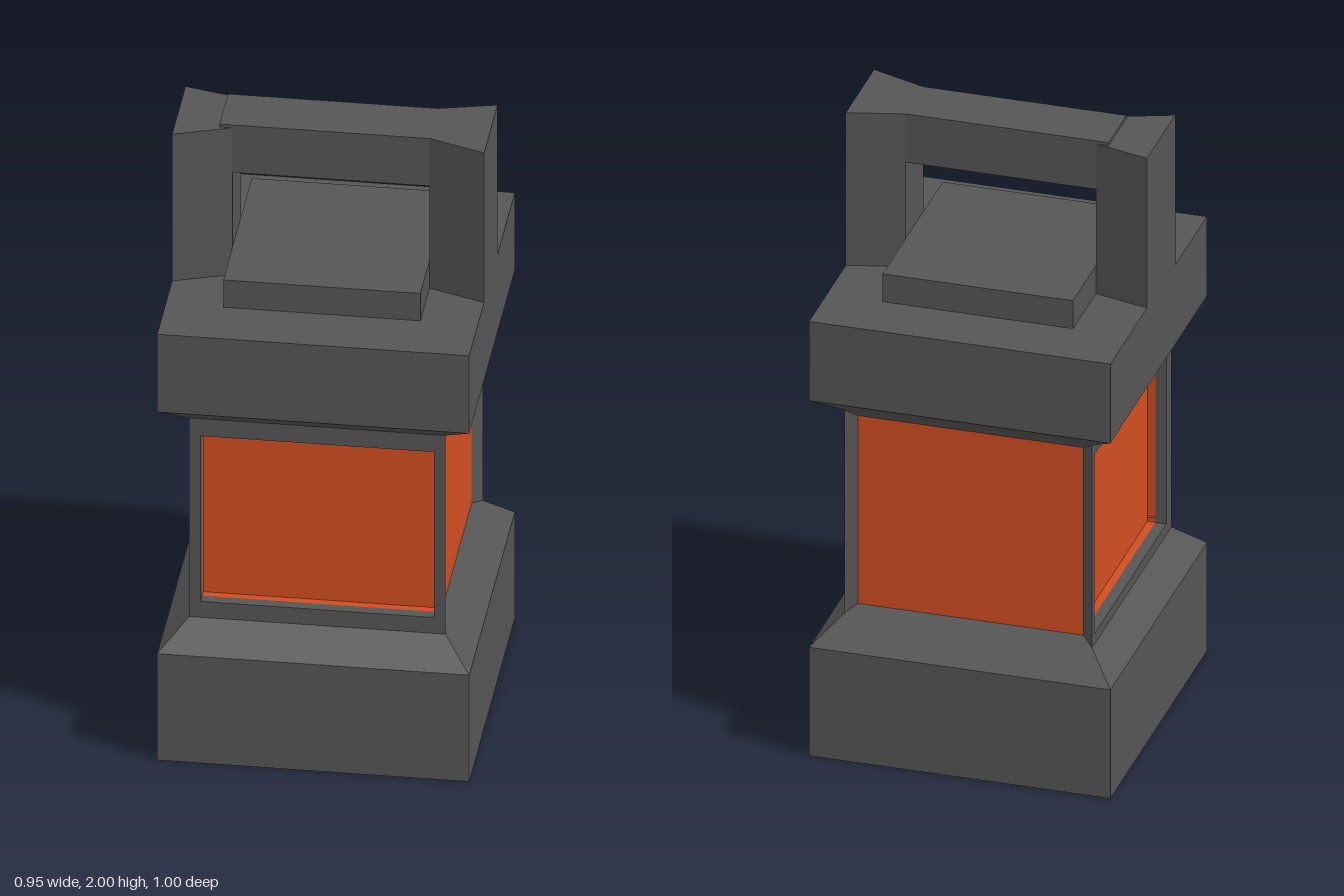
import * as THREE from 'three';

const grey = new THREE.MeshStandardMaterial({ color: 0x555555, flatShading: true });
const orange = new THREE.MeshStandardMaterial({ color: 0xd24e21, flatShading: true });

function add(parent, name, geometry, material = grey) {
  const mesh = new THREE.Mesh(geometry, material);
  mesh.name = name;
  parent.add(mesh);
  return mesh;
}

function box(x0, x1, y0, y1, z0, z1) {
  return new THREE.BoxGeometry(x1 - x0, y1 - y0, z1 - z0)
    .translate((x0 + x1) / 2, (y0 + y1) / 2, (z0 + z1) / 2);
}

// Rectangular block whose top differs in size from its bottom
function taper(w0, d0, w1, d1, y0, y1) {
  const g = box(-1, 1, y0, y1, -1, 1);
  const p = g.attributes.position;
  const mid = (y0 + y1) / 2;
  for (let i = 0; i < p.count; i++) {
    const top = p.getY(i) > mid;
    p.setX(i, p.getX(i) * (top ? w1 : w0));
    p.setZ(i, p.getZ(i) * (top ? d1 : d0));
  }
  g.computeVertexNormals();
  return g;
}

// Surface stepping inward through rectangles [u0, u1, v0, v1, depth]
function steps(rects) {
  const corners = ([u0, u1, v0, v1, n]) => [[u0, v0, n], [u1, v0, n], [u1, v1, n], [u0, v1, n]];
  const pos = [];
  const quad = (a, b, c, d) => pos.push(...a, ...b, ...c, ...a, ...c, ...d);
  for (let r = 0; r < rects.length - 1; r++) {
    const a = corners(rects[r]), b = corners(rects[r + 1]);
    for (let i = 0; i < 4; i++) {
      const j = (i + 1) % 4;
      quad(a[i], a[j], b[j], b[i]);
    }
  }
  if (rects.length === 1) quad(...corners(rects[0]));
  const g = new THREE.BufferGeometry();
  g.setAttribute('position', new THREE.Float32BufferAttribute(pos, 3));
  g.computeVertexNormals();
  return g;
}

// Vertical prism from an x/z outline
function prism(points, y0, y1) {
  const shape = new THREE.Shape(points.map(([x, z]) => new THREE.Vector2(x, -z)));
  return new THREE.ExtrudeGeometry(shape, { depth: y1 - y0, bevelEnabled: false })
    .rotateX(-Math.PI / 2).translate(0, y0, 0);
}

export function createModel() {
  const model = new THREE.Group();
  model.name = 'lantern';

  // Base with sloped shoulder
  const base = new THREE.Group();
  base.name = 'base';
  model.add(base);
  add(base, 'baseBlock', box(-0.475, 0.475, 0, 0.37, -0.5, 0.5));
  add(base, 'baseShoulder', taper(0.475, 0.5, 0.39, 0.41, 0.37, 0.455));

  // Lamp housing: four recessed windows, framed on front and left-hand view side
  const lo = 0.455, hi = 1.145;
  const sides = [
    { name: 'frontWindow', turn: 0, half: 0.39, dist: 0.41, rim: [-0.355, 0.355, 0.51, 1.085] },
    { name: 'rightHandWindow', turn: -Math.PI / 2, half: 0.41, dist: 0.39, rim: [-0.385, 0.36, 0.49, 1.1] },
    { name: 'leftHandWindow', turn: Math.PI / 2, half: 0.41, dist: 0.39, floor: [-0.38, 0.345, 0.48, 1.12] },
    { name: 'backWindow', turn: Math.PI, half: 0.39, dist: 0.41, floor: [-0.355, 0.355, 0.48, 1.12] },
  ];
  for (const s of sides) {
    const side = new THREE.Group();
    side.name = s.name;
    side.rotation.y = s.turn;
    model.add(side);
    const outer = [-s.half, s.half, lo, hi, s.dist];
    if (s.rim) {
      const back = [...s.rim, s.dist - 0.035], pane = [...s.rim, s.dist - 0.06];
      add(side, 'frame', steps([outer, [...s.rim, s.dist], back]));
      add(side, 'paneEdge', steps([back, pane]), orange);
      add(side, 'pane', steps([pane]), orange);
    } else {
      const pane = [...s.floor, s.dist - 0.025];
      add(side, 'frame', steps([outer, pane]));
      add(side, 'pane', steps([pane]), orange);
    }
  }

  // Lid with sloped underside and raised pad
  const lid = new THREE.Group();
  lid.name = 'lid';
  model.add(lid);
  add(lid, 'lidSlope', taper(0.39, 0.41, 0.475, 0.5, hi, 1.21));
  add(lid, 'lidBlock', box(-0.475, 0.475, 1.21, 1.48, -0.5, 0.5));
  add(lid, 'lidPad', box(-0.3, 0.3, 1.48, 1.575, -0.313, 0.31));

  // Carrying handle: flared posts and a crossbar
  const handle = new THREE.Group();
  handle.name = 'handle';
  model.add(handle);
  for (const [s, top] of [[1, 2], [-1, 1.99]]) {
    const outline = [[s * 0.3, -0.075], [s * 0.475, -0.12], [s * 0.475, 0.173], [s * 0.3, 0.11]];
    add(handle, 'handlePost', prism(outline, 1.48, top));
  }
  add(handle, 'handleBar', box(-0.34, 0.3, 1.835, 2, -0.075, 0.11));

  return model;
}
